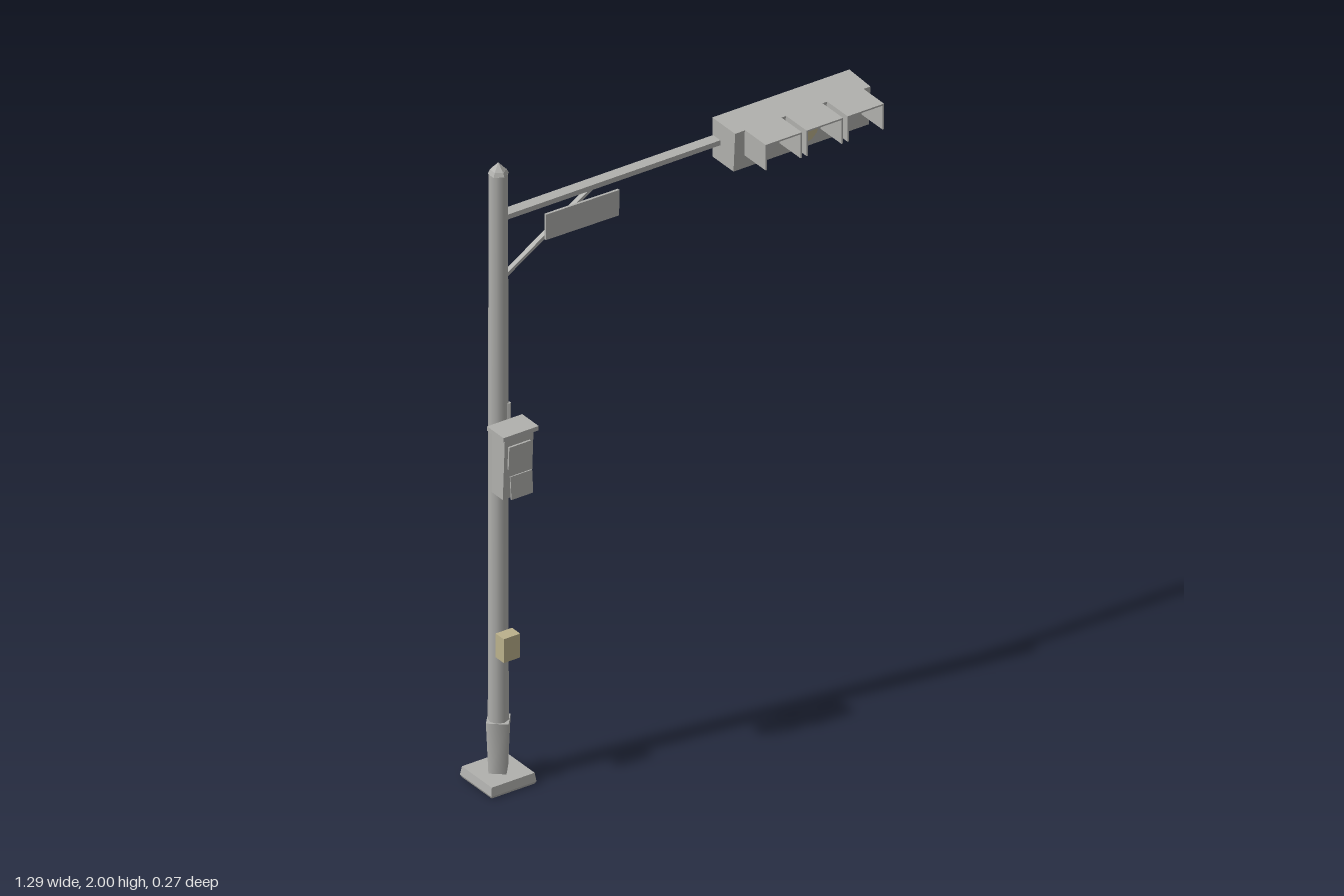
import * as THREE from 'three';

const POLE_X = -0.57, POLE_Z = -0.058;

export function createModel() {
  const model = new THREE.Group();
  model.name = 'trafficSignal';

  const grey = new THREE.MeshStandardMaterial({ color: 0xb0b0ad });
  grey.name = 'weathered grey';
  const tan = new THREE.MeshStandardMaterial({ color: 0xbbb18c });
  tan.name = 'faded yellow';

  const add = (name, geometry, x, y, z, material = grey, parent = model) => {
    const mesh = new THREE.Mesh(geometry, material);
    mesh.name = name;
    mesh.position.set(x, y, z);
    parent.add(mesh);
    return mesh;
  };
  // Faceted copy of a geometry
  const facet = (geometry) => {
    const g = geometry.toNonIndexed();
    g.computeVertexNormals();
    return g;
  };
  const box = (w, h, d) => new THREE.BoxGeometry(w, h, d);
  const column = (top, bottom, h, sides) => new THREE.CylinderGeometry(top, bottom, h, sides);
  // Box whose corners are moved by a rule
  const shapedBox = (w, h, d, rule) => {
    const g = box(w, h, d), p = g.attributes.position, v = new THREE.Vector3();
    for (let i = 0; i < p.count; i++) {
      v.fromBufferAttribute(p, i);
      rule(v);
      p.setXYZ(i, v.x, v.y, v.z);
    }
    return facet(g);
  };
  const narrow = (s, atTop) => (v) => {
    if ((v.y > 0) === atTop) { v.x *= s; v.z *= s; }
  };

  // Foot plate with bevelled edges
  add('footPlateLower', shapedBox(0.154, 0.008, 0.154, narrow(0.95, false)), POLE_X, 0.004, POLE_Z);
  add('footPlateUpper', shapedBox(0.154, 0.027, 0.154, narrow(0.95, true)), POLE_X, 0.0215, POLE_Z);

  // Diamond collar, post and pointed cap
  add('collar', column(0.045, 0.036, 0.165, 4), POLE_X, 0.1175, POLE_Z).rotation.y = 0.08;
  add('post', column(0.028, 0.03, 1.785, 8), POLE_X, 1.0725, POLE_Z);
  add('capBand', facet(column(0.024, 0.03, 0.012, 6)), POLE_X, 1.971, POLE_Z);
  add('capTip', facet(column(0, 0.024, 0.024, 6)), POLE_X, 1.988, POLE_Z);

  // Mast arm and diagonal brace
  add('mastArm', box(0.75, 0.016, 0.036), -0.185, 1.823, -0.06);
  const from = new THREE.Vector2(-0.548, 1.624), to = new THREE.Vector2(-0.246, 1.815);
  const span = to.clone().sub(from);
  add('brace', box(span.length(), 0.01, 0.016), (from.x + to.x) / 2, (from.y + to.y) / 2, -0.062)
    .rotation.z = span.angle();

  // Blank street sign
  add('sign', box(0.25, 0.082, 0.008), -0.291, 1.743, -0.049).rotation.z = -0.01;

  // Signal head
  const head = new THREE.Group();
  head.name = 'signalHead';
  model.add(head);
  add('housing', shapedBox(0.468, 0.126, 0.112, (v) => {
    if (v.y < 0 && v.z > 0) v.z -= 0.008;
    if (v.x > 0 && v.z > 0) v.x -= 0.006;
  }), 0.411, 1.823, -0.026, grey, head);

  // Three lenses under open hoods
  [0.272, 0.412, 0.552].forEach((x, i) => {
    const lens = add('lens', column(0.046, 0.05, 0.014, 12), x, 1.828, 0.03,
      i === 1 ? tan : grey, head);
    lens.rotation.x = Math.PI / 2;
    add('hoodTop', box(0.124, 0.005, 0.104), x, 1.885, 0.08, grey, head);
    for (const side of [-1, 1]) {
      add('hoodSide', box(0.005, 0.08, 0.104), x + side * 0.0595, 1.845, 0.08, grey, head);
    }
  });

  // Control cabinet, shallower towards its foot
  const cabinet = new THREE.Group();
  cabinet.name = 'controlCabinet';
  model.add(cabinet);
  add('cabinetBody', shapedBox(0.098, 0.2, 0.066, (v) => {
    if (v.y < 0 && v.z > 0) v.z -= 0.01;
  }), -0.571, 1.068, 0.013, grey, cabinet);
  add('cabinetLid', box(0.12, 0.014, 0.081), -0.571, 1.174, 0.015, grey, cabinet);
  add('upperPanel', box(0.074, 0.074, 0.006), -0.571, 1.103, 0.046, grey, cabinet).rotation.x = 0.05;
  add('lowerPanel', box(0.074, 0.072, 0.004), -0.571, 1.012, 0.057, grey, cabinet).rotation.x = -0.07;
  add('panelStud', box(0.01, 0.01, 0.022), -0.571, 1.012, 0.045, grey, cabinet);
  add('cabinetMount', box(0.03, 0.06, 0.02), -0.571, 1.07, -0.027, grey, cabinet);
  add('conduit', facet(column(0.006, 0.006, 0.12, 6)), -0.548, 1.165, -0.038, grey, cabinet);

  // Push-button box
  add('buttonBox', box(0.056, 0.077, 0.04), -0.572, 0.461, -0.008, tan);

  return model;
}
